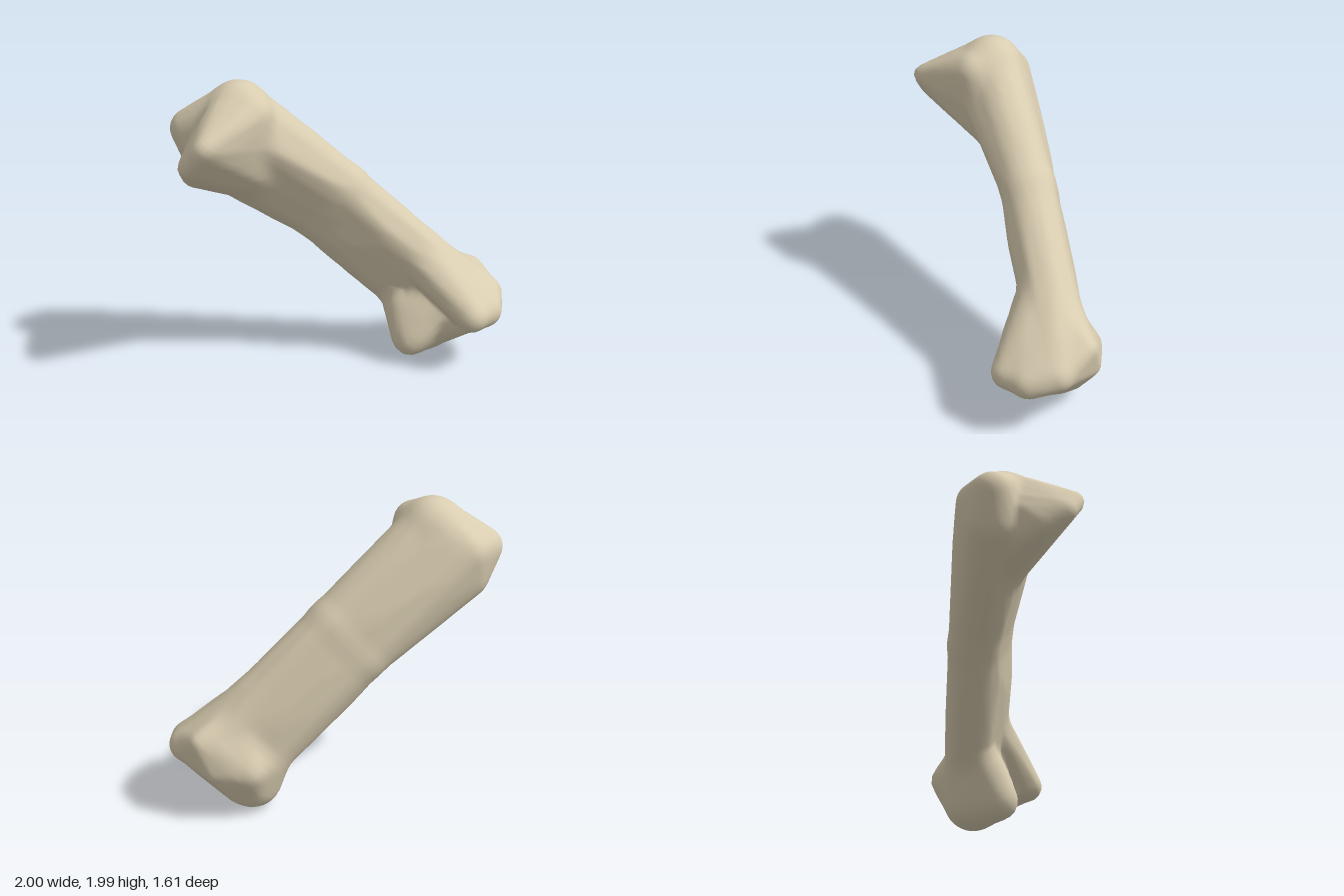
import * as THREE from 'three';

const V = (x, y, z) => new THREE.Vector3(x, y, z);

// rounded landmarks of the bone: [centre, radius]
const P = {
  // shaft: two rails that give an oval section
  railA: [V(0.12, 1.216, -0.07), 0.175], railB: [V(0.04, 1.024, -0.23), 0.17],
  flare: [V(-0.28, 1.34, -0.4), 0.18],
  // upper end
  top: [V(-0.46, 1.785, -0.42), 0.195], front: [V(-0.48, 1.79, -0.27), 0.14],
  frontLow: [V(-0.42, 1.62, -0.28), 0.14], core: [V(-0.6, 1.6, -0.45), 0.18],
  sideCorner: [V(-0.89, 1.67, -0.22), 0.07], sideTip: [V(-0.93, 1.54, -0.33), 0.07],
  sideLow: [V(-0.82, 1.46, -0.42), 0.09], under: [V(-0.6, 1.42, -0.45), 0.14],
  back: [V(-0.65, 1.66, -0.68), 0.13], backInner: [V(-0.5, 1.66, -0.66), 0.14],
  backLow: [V(-0.55, 1.5, -0.59), 0.19],
  // lower end
  neck: [V(0.5, 0.77, 0.22), 0.16], neckOuter: [V(0.68, 0.61, 0.3), 0.14],
  endA: [V(0.73, 0.5, 0.4), 0.17], endB: [V(0.56, 0.38, 0.15), 0.15],
  bottom: [V(0.6, 0.2, 0.24), 0.19], rimLow: [V(0.72, 0.17, 0.24), 0.1],
  rimMid: [V(0.89, 0.37, 0.29), 0.08], rimTop: [V(0.92, 0.56, 0.38), 0.08],
  rimBack: [V(0.75, 0.36, 0.13), 0.11], outerFront: [V(0.85, 0.45, 0.57), 0.11],
  frontKnob: [V(0.57, 0.4, 0.7), 0.105], frontKnobOuter: [V(0.72, 0.4, 0.68), 0.11],
  heel: [V(0.45, 0.4, 0.18), 0.14], smallKnob: [V(0.41, 0.17, 0.3), 0.13],
};

// evenly spread directions
const normals = Array.from({ length: 2000 }, (_, i) => {
  const y = 1 - (2 * i + 1) / 2000, a = i * 2.399963, s = Math.sqrt(1 - y * y);
  return V(s * Math.cos(a), y, s * Math.sin(a));
});

// each mass is the taut skin around its landmarks, kept as its reach along each direction
const masses = [
  ['railA', 'railB', 'flare', 'frontLow', 'top', 'back', 'backInner', 'backLow'], // upper shaft
  ['top', 'front', 'frontLow', 'sideCorner', 'sideTip', 'sideLow', 'under', 'core', 'flare'], // head
  ['railA', 'railB', 'neck', 'neckOuter', 'endA', 'endB'], // lower shaft
  ['endB', 'endA', 'bottom', 'rimLow', 'rimMid', 'rimTop', 'rimBack', 'neckOuter',
    'outerFront', 'frontKnobOuter'], // condyle
  ['frontKnob', 'frontKnobOuter', 'outerFront', 'neck', 'neckOuter', 'endA'], // front knob
  ['smallKnob', 'heel', 'bottom', 'endB', 'endA'], // small knob
].map((names) => normals.map((n) =>
  Math.max(...names.map((name) => P[name][0].dot(n) + P[name][1]))));

// distance from c along dir to the outside, blending the masses softly
function reach(c, dir) {
  const k = 0.04;
  const out = masses.map(() => Infinity), enter = masses.map(() => 0);
  for (let i = 0; i < normals.length; i++) {
    const slope = normals[i].dot(dir), base = normals[i].dot(c);
    masses.forEach((mass, m) => {
      const t = (mass[i] - base) / slope;
      if (slope > 0) out[m] = Math.min(out[m], t);
      else enter[m] = Math.max(enter[m], t);
    });
  }
  let r = 0;
  out.forEach((t, m) => {
    if (t <= enter[m]) return;
    const h = Math.max(k - Math.abs(t - r), 0) / k;
    r = Math.max(r, t) + h * h * k / 4;
  });
  return r;
}

function boneGeometry() {
  const axis = new THREE.CatmullRomCurve3([
    V(-0.52, 1.62, -0.44), V(0.08, 1.12, -0.15), V(0.66, 0.38, 0.38)]);
  const segs = 72, cap = 22, body = 44, rings = cap * 2 + body;
  const ref = V(0.31, 0.74, 0.61), pos = [], idx = [];
  const p = V(0, 0, 0), dir = V(0, 0, 0);

  // rings along the axis, closing over each end like a dome
  for (let i = 0; i <= rings; i++) {
    const t = THREE.MathUtils.clamp((i - cap) / body, 0, 1);
    const tilt = (i < cap ? i - cap : Math.max(0, i - cap - body)) / cap * Math.PI / 2;
    const c = axis.getPoint(t), d = axis.getTangent(t);
    const u = ref.clone().addScaledVector(d, -ref.dot(d)).normalize();
    const v = d.clone().cross(u);
    for (let j = 0; j < segs; j++) {
      const a = j / segs * Math.PI * 2;
      dir.set(0, 0, 0)
        .addScaledVector(u, Math.cos(a) * Math.cos(tilt))
        .addScaledVector(v, Math.sin(a) * Math.cos(tilt))
        .addScaledVector(d, Math.sin(tilt));
      p.copy(c).addScaledVector(dir, reach(c, dir));
      pos.push(p.x, p.y, p.z);
      if (i === 0 || i === rings) break; // single pole point
    }
  }

  // faces between neighbouring rings
  const at = (i, j) => i === 0 ? 0 : 1 + (i - 1) * segs + (i === rings ? 0 : j % segs);
  for (let i = 0; i < rings; i++) {
    for (let j = 0; j < segs; j++) {
      const a = at(i, j), b = at(i, j + 1), c = at(i + 1, j), e = at(i + 1, j + 1);
      if (i > 0) idx.push(a, b, c);
      if (i < rings - 1) idx.push(b, e, c);
    }
  }
  const g = new THREE.BufferGeometry();
  g.setAttribute('position', new THREE.Float32BufferAttribute(pos, 3));
  g.setIndex(idx);
  g.computeVertexNormals();
  return g;
}

export function createModel() {
  const group = new THREE.Group();
  group.name = 'bone';
  const boneMaterial = new THREE.MeshStandardMaterial({ color: 0xd8ccb0 });
  boneMaterial.name = 'bone ivory';
  const mesh = new THREE.Mesh(boneGeometry(), boneMaterial);
  mesh.name = 'boneShaftAndEnds';
  group.add(mesh);
  return group;
}
